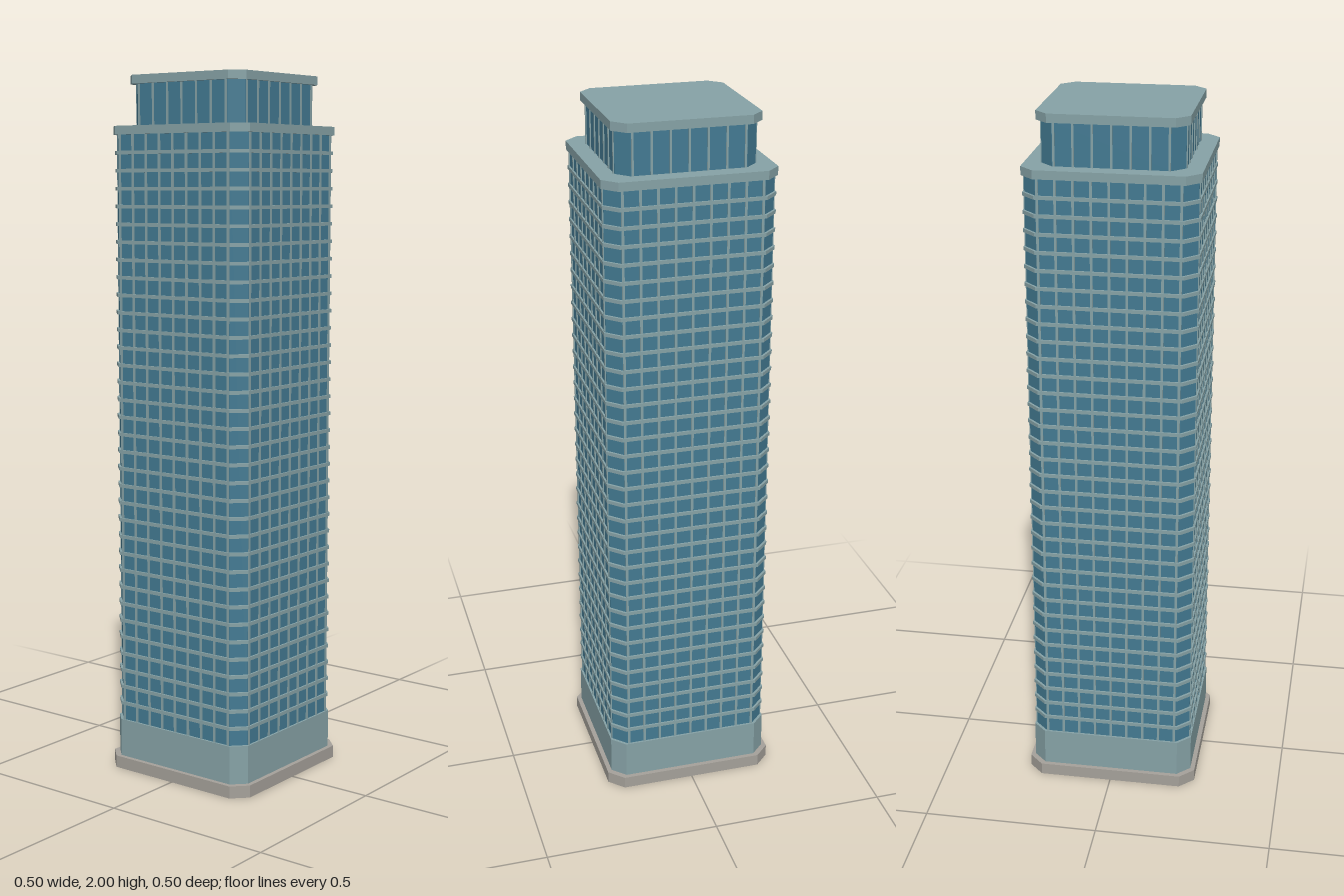
import * as THREE from 'three';

const glass = new THREE.MeshStandardMaterial({ color: 0x437a92 });
glass.name = 'blue glass';
const frame = new THREE.MeshStandardMaterial({ color: 0x86a2a6 });
frame.name = 'grey green frame';
const stone = new THREE.MeshStandardMaterial({ color: 0xa5a19a });
stone.name = 'warm stone';

// Upright prism with a square plan and cut corners
function prism(name, half, cut, bottom, top, material) {
  const a = half, b = half - cut;
  const corners = [[b, -a], [a, -b], [a, b], [b, a], [-b, a], [-a, b], [-a, -b], [-b, -a]];
  const shape = new THREE.Shape(corners.map(([x, y]) => new THREE.Vector2(x, y)));
  const geometry = new THREE.ExtrudeGeometry(shape, { depth: top - bottom, bevelEnabled: false });
  geometry.rotateX(-Math.PI / 2);
  geometry.translate(0, bottom, 0);
  const mesh = new THREE.Mesh(geometry, material);
  mesh.name = name;
  return mesh;
}

// Evenly spaced vertical bars on all four walls
function mullions(name, half, reach, bays, bottom, top, width) {
  const group = new THREE.Group();
  group.name = name;
  const geometry = new THREE.BoxGeometry(width, top - bottom, 0.006);
  for (let side = 0; side < 4; side++) {
    const wall = new THREE.Group();
    wall.name = 'mullionWall';
    wall.rotation.y = side * Math.PI / 2;
    for (let i = 0; i <= bays; i++) {
      const bar = new THREE.Mesh(geometry, frame);
      bar.name = 'mullion';
      bar.position.set(-reach + 2 * reach * i / bays, (bottom + top) / 2, half);
      wall.add(bar);
    }
    group.add(wall);
  }
  return group;
}

export function createModel() {
  const tower = new THREE.Group();
  tower.name = 'tower';

  // Plinth and podium
  tower.add(prism('plinth', 0.25, 0.041, 0, 0.035, stone));
  tower.add(prism('podium', 0.237, 0.037, 0.035, 0.145, frame));

  // Main glass shaft
  const low = 0.145, high = 1.836, floors = 34;
  tower.add(prism('shaftGlass', 0.231, 0.036, low, high, glass));
  tower.add(mullions('shaftMullions', 0.231, 0.19, 8, low, high, 0.007));

  // Floor bands wrapping the shaft
  const bands = new THREE.Group();
  bands.name = 'floorBands';
  for (let i = 1; i < floors; i++) {
    const y = low + (high - low) * i / floors;
    bands.add(prism('floorBand', 0.236, 0.037, y - 0.005, y + 0.005, frame));
  }
  tower.add(bands);

  // Roof ledge, set-back crown and cap
  tower.add(prism('roofLedge', 0.239, 0.038, high, 1.86, frame));
  tower.add(prism('crownGlass', 0.191, 0.034, 1.86, 1.976, glass));
  tower.add(mullions('crownMullions', 0.191, 0.152, 6, 1.86, 1.976, 0.006));
  tower.add(prism('crownCap', 0.203, 0.035, 1.976, 2, frame));

  return tower;
}
